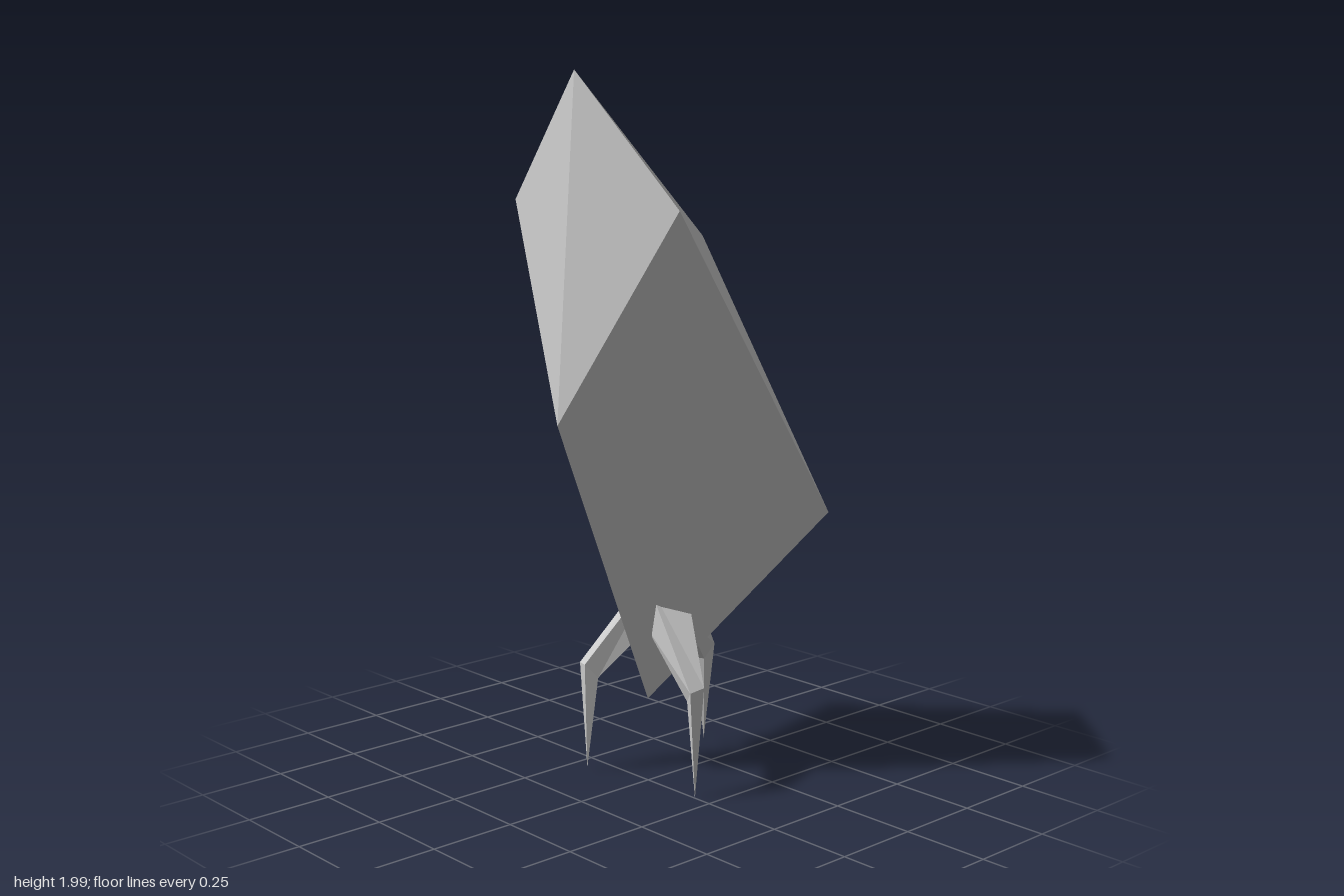
import * as THREE from 'three';

const material = new THREE.MeshStandardMaterial({ color: 0xcccccc, flatShading: true });

// Flat-faced mesh from corner points and convex polygons
function facetMesh(name, points, faces) {
  const pos = [];
  for (const f of faces)
    for (let i = 1; i < f.length - 1; i++)
      pos.push(...points[f[0]], ...points[f[i]], ...points[f[i + 1]]);
  const geo = new THREE.BufferGeometry();
  geo.setAttribute('position', new THREE.Float32BufferAttribute(pos, 3));
  geo.computeVertexNormals();
  const mesh = new THREE.Mesh(geo, material);
  mesh.name = name;
  return mesh;
}

// Tapered leg along local +x: hip section, knee section, pointed tip
function makeLeg(name, angle, shift, lift, tipY) {
  const hip = [[0.03, 0.6, 0.062], [0.03, 0.6, -0.056], [0.03, 0.46, -0.046], [0.03, 0.455, 0.06]];
  const knee = [[0.26, 0.322, 0.024], [0.245, 0.328, -0.024], [0.207, 0.287, -0.016], [0.215, 0.285, 0.014]];
  const points = [
    ...hip.map(([r, y, t]) => [r + shift * 0.5, y + lift, t]),
    ...knee.map(([r, y, t]) => [r + shift, y + lift * 0.5, t]),
    [0.24 + shift, tipY, 0],
  ];
  const faces = [[0, 1, 2, 3]];
  for (let i = 0; i < 4; i++) {
    const j = (i + 1) % 4;
    faces.push([i, 4 + i, 4 + j, j], [4 + i, 8, 4 + j]);
  }
  const leg = facetMesh(name, points, faces);
  leg.position.set(-0.03, 0, -0.08);
  leg.rotation.y = -THREE.MathUtils.degToRad(angle);
  return leg;
}

export function createModel() {
  const model = new THREE.Group();

  // Leaning six-sided crystal body balanced on one corner
  model.add(facetMesh('body', [
    [-0.015, 2, 0.245],      // 0 peak
    [-0.285, 1.655, 0.23],   // 1 upper right
    [0.285, 1.645, 0.15],    // 2 upper left
    [0, 1.55, -0.205],       // 3 upper back
    [0.005, 1.075, 0.328],   // 4 lower front
    [-0.375, 0.87, -0.22],   // 5 lower right
    [0.375, 0.805, -0.33],   // 6 lower left
    [-0.04, 0.235, -0.035],  // 7 bottom point
  ], [
    [0, 1, 4, 2], [0, 2, 6, 3], [0, 3, 5, 1],
    [4, 1, 5, 7], [2, 4, 7, 6], [3, 6, 7, 5],
  ]));

  // Three bent legs spread around the bottom point
  model.add(
    makeLeg('leftLeg', 20, 0, 0, 0.01),
    makeLeg('backLeg', -107, 0.01, 0.01, 0.035),
    makeLeg('rightLeg', 132, -0.025, 0.015, 0.02),
  );
  return model;
}
